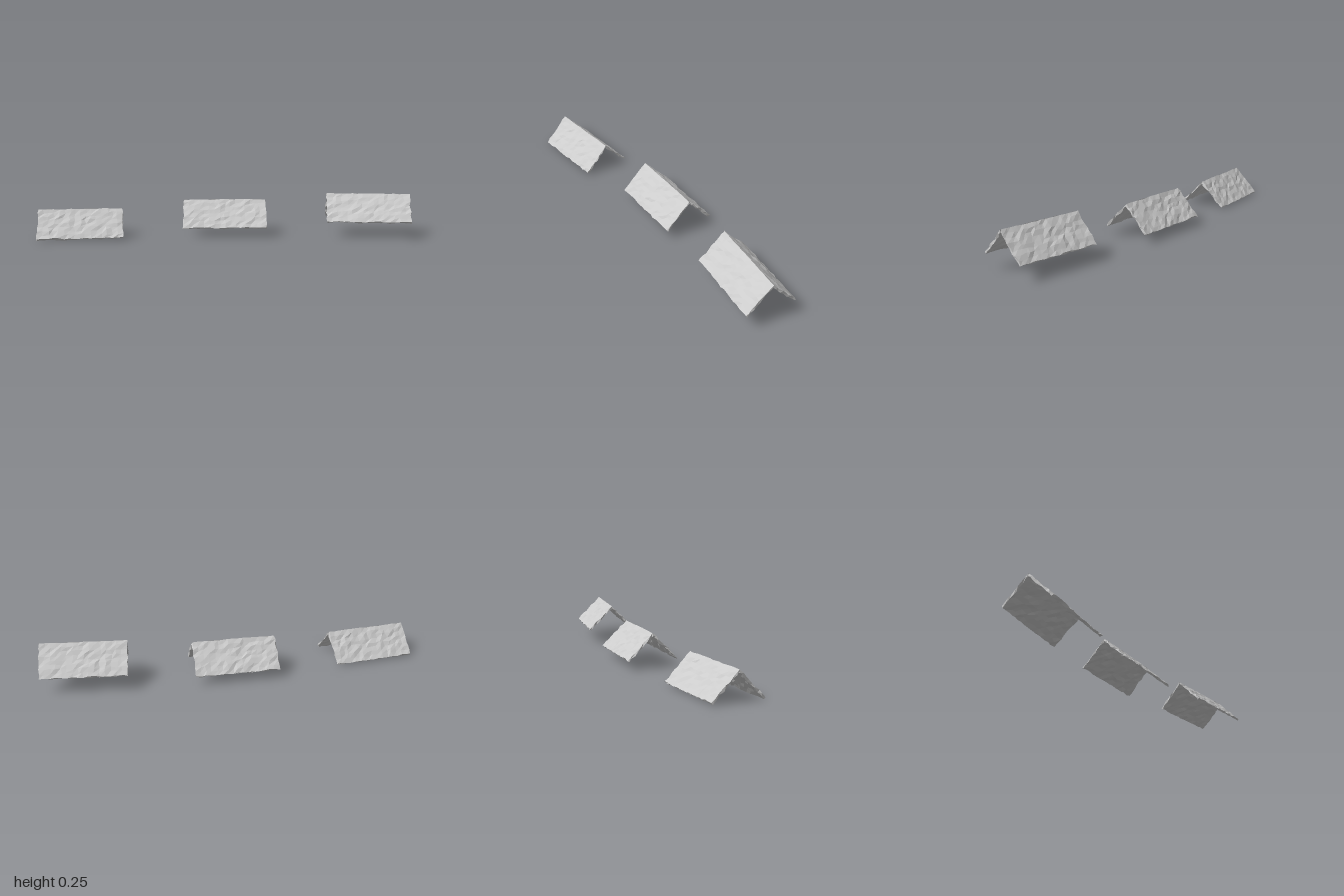
import * as THREE from 'three';

const LENGTH = 0.508, SLOPE = 0.218, THICK = 0.011, PITCH = Math.PI / 4;

// repeatable noise in -1..1, equal for vertices sharing a position
function noise(x, y, z, seed) {
  const q = (v) => Math.round(v * 1000);
  const s = Math.sin(q(x) * 12.9898 + q(y) * 78.233 + q(z) * 37.719 + seed * 4.137) * 43758.5453;
  return (s - Math.floor(s)) * 2 - 1;
}

// thin weathered slab: ridge edge at z = 0, eave at z = SLOPE, outer face at y = 0
function slabGeometry(seed) {
  const geo = new THREE.BoxGeometry(LENGTH, THICK, SLOPE, 16, 1, 8);
  geo.translate(0, -THICK / 2, SLOPE / 2);
  const p = geo.attributes.position;
  for (let i = 0; i < p.count; i++) {
    const x = p.getX(i), y = p.getY(i), z = p.getZ(i);
    const ridge = z < 1e-4, eave = z > SLOPE - 1e-4;
    const end = Math.abs(x) > LENGTH / 2 - 1e-4;
    // ragged outline, uneven faces, mitred ridge
    const dx = noise(x, y, z, seed) * (end ? 0.005 : 0.008);
    const dy = noise(x, y, z, seed + 1) * (ridge ? 0.002 : 0.0042);
    let dz = noise(x, y, z, seed + 2) * (eave ? 0.004 : 0.006);
    if (ridge) dz = (y < -THICK / 2 ? THICK : 0) - dy;
    p.setXYZ(i, x + dx, y + dy, z + dz);
  }
  geo.rotateX(PITCH);
  geo.computeVertexNormals();
  return geo;
}

// two slabs leaning together, open underneath and at both ends
function makeRoof(name, seed, material) {
  const roof = new THREE.Group();
  roof.name = name;
  ['frontSlope', 'backSlope'].forEach((side, i) => {
    const slope = new THREE.Mesh(slabGeometry(seed + i * 7), material);
    slope.name = side;
    slope.rotation.y = i * Math.PI;
    roof.add(slope);
  });
  return roof;
}

export function createModel() {
  const model = new THREE.Group();
  model.name = 'roofs';
  const material = new THREE.MeshStandardMaterial({ color: 0xcccccc, flatShading: true, side: THREE.DoubleSide });

  // name, ridge centre, heading in degrees
  const roofs = [
    ['lowRoof', -0.707, 0.169, 0.527, 41.9],
    ['middleRoof', -0.055, 0.212, -0.077, 36],
    ['highRoof', 0.692, 0.252, -0.56, 29.9],
  ];
  roofs.forEach(([name, x, y, z, heading], i) => {
    const roof = makeRoof(name, 3 + i * 20, material);
    roof.position.set(x, y, z);
    roof.rotation.y = THREE.MathUtils.degToRad(heading);
    model.add(roof);
  });
  return model;
}
